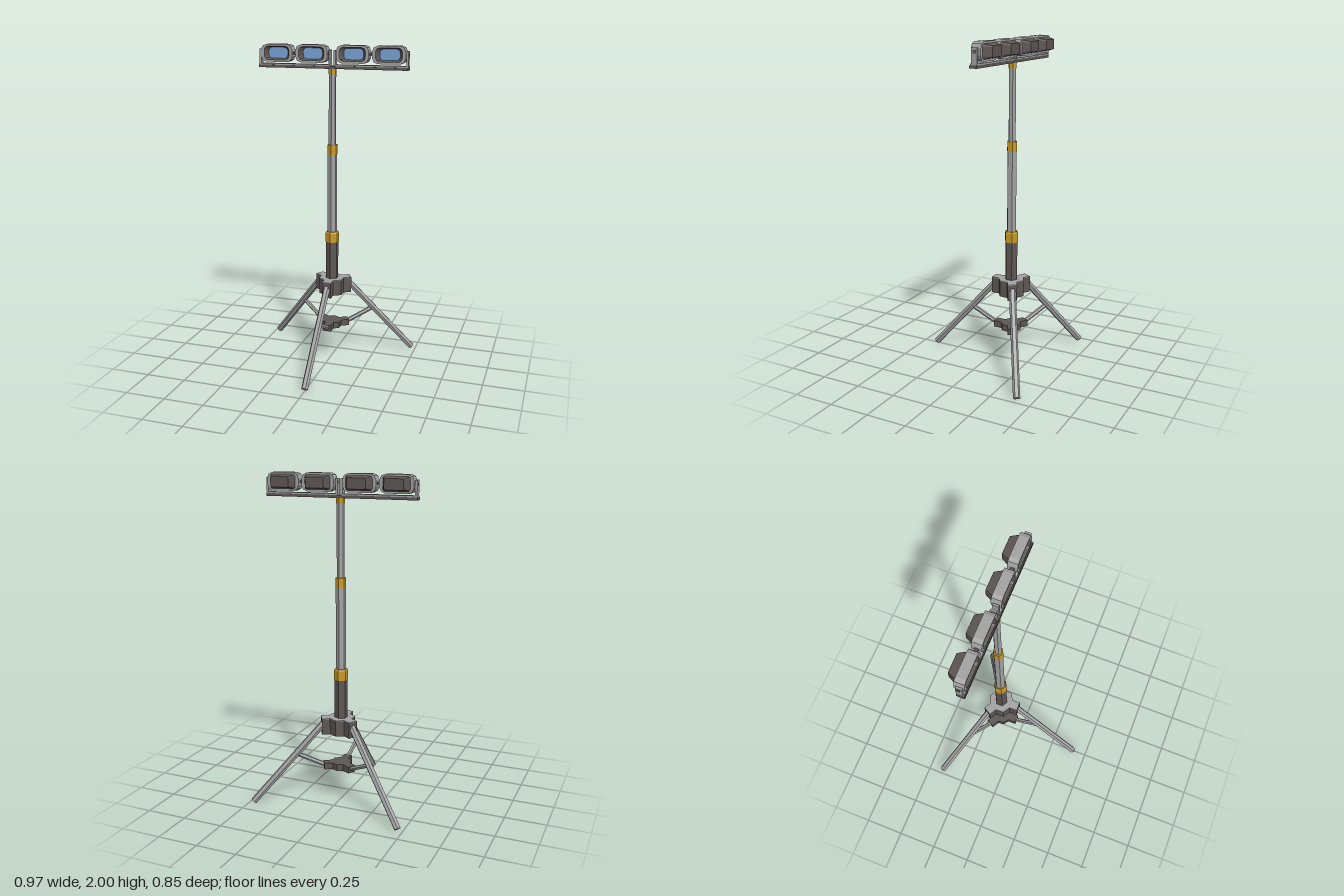
import * as THREE from 'three';

const mat = (name, color) => {
  const m = new THREE.MeshStandardMaterial({ color });
  m.name = name;
  m.flatShading = true;
  return m;
};

export function createModel() {
  const steel = mat('light grey steel', 0xa3a3a3);
  const dark = mat('dark brown grey', 0x5e5755);
  const gold = mat('yellow collar', 0xc99a26);
  const glass = mat('blue glass', 0x78a2d6);
  const model = new THREE.Group();
  const AXIS = -0.135; // mast position in z

  const add = (parent, name, geo, material, x = 0, y = 0, z = 0) => {
    const m = new THREE.Mesh(geo, material);
    m.name = name;
    m.position.set(x, y, z);
    parent.add(m);
    return m;
  };
  const box = (parent, name, material, w, h, d, x, y, z) =>
    add(parent, name, new THREE.BoxGeometry(w, h, d), material, x, y, z);

  // Six-sided rod between two points in the x = 0 plane
  const rod = (parent, name, r, a, b, material) => {
    const dir = b.clone().sub(a);
    const geo = new THREE.CylinderGeometry(r, r, dir.length(), 6).rotateY(Math.PI / 2);
    const m = add(parent, name, geo, material);
    m.position.copy(a).add(b).multiplyScalar(0.5);
    m.quaternion.setFromUnitVectors(new THREE.Vector3(0, 1, 0), dir.normalize());
    return m;
  };

  // Telescopic mast: [name, bottom y, top y, bottom radius, top radius, material]
  const mast = new THREE.Group();
  mast.name = 'mast';
  mast.position.z = AXIS;
  model.add(mast);
  [
    ['mastBase', 0.45, 0.78, 0.04, 0.04, dark],
    ['lowerCollar', 0.78, 0.838, 0.043, 0.043, gold],
    ['lowerCollarRim', 0.838, 0.847, 0.043, 0.037, gold],
    ['middleTube', 0.84, 1.34, 0.03, 0.03, steel],
    ['middleCollar', 1.34, 1.4, 0.032, 0.032, gold],
    ['upperTube', 1.39, 1.83, 0.023, 0.023, steel],
    ['topCollar', 1.828, 1.862, 0.025, 0.025, gold],
  ].forEach(([name, y0, y1, r0, r1, m]) =>
    add(mast, name, new THREE.CylinderGeometry(r1, r0, y1 - y0, 6), m, 0, (y0 + y1) / 2));

  // Three-armed hubs, one arm towards the front
  const hubGeo = (reach, half, notch, peak, height) => {
    const s = new THREE.Shape();
    const pts = [];
    for (let i = 0; i < 3; i++) {
      const a = i * Math.PI * 2 / 3;
      [[-half, notch], [-half, reach], [half, reach], [half, notch],
        [peak * Math.sin(Math.PI / 3), peak * 0.5]].forEach(([u, v]) =>
        pts.push(new THREE.Vector2(u * Math.cos(a) + v * Math.sin(a), u * Math.sin(a) - v * Math.cos(a))));
    }
    s.setFromPoints(pts);
    return new THREE.ExtrudeGeometry(s, { depth: height, bevelEnabled: false }).rotateX(-Math.PI / 2);
  };
  add(mast, 'upperHub', hubGeo(0.12, 0.029, 0.07, 0.084, 0.097), dark, 0, 0.44);
  add(mast, 'upperHubTop', hubGeo(0.12, 0.029, 0.07, 0.084, 0.004), steel, 0, 0.537);
  add(mast, 'lowerHub', hubGeo(0.107, 0.026, 0.055, 0.066, 0.04), dark, 0, 0.21);

  // Legs and braces
  for (let i = 0; i < 3; i++) {
    const leg = new THREE.Group();
    leg.name = 'leg' + (i + 1);
    leg.rotation.y = i * Math.PI * 2 / 3;
    mast.add(leg);
    const p = (y, z) => new THREE.Vector3(0, y, z);
    rod(leg, 'legTube', 0.021, p(0.505, 0.107), p(0.013, 0.543), steel);
    rod(leg, 'brace', 0.014, p(0.23, 0.095), p(0.313, 0.272), steel);
  }

  // Chamfered rectangle outline, counter-clockwise
  const outline = (w, h, c) => [
    [w - c, -h], [w - c * 0.3, -h + c * 0.3], [w, -h + c], [w, h - c], [w - c * 0.3, h - c * 0.3], [w - c, h],
    [c - w, h], [c * 0.3 - w, h - c * 0.3], [-w, h - c], [-w, c - h], [c * 0.3 - w, c * 0.3 - h], [c - w, -h],
  ];
  const shapeOf = (o) => new THREE.Shape(o.map(([x, y]) => new THREE.Vector2(x, y)));

  // Surface lofted between outlines, running from front to back
  const loft = (sections, capBack) => {
    const pos = [];
    const idx = [];
    const n = sections[0].o.length;
    sections.forEach(({ o, z }) => o.forEach(([x, y]) => pos.push(x, y, z)));
    for (let s = 0; s < sections.length - 1; s++) {
      for (let i = 0; i < n; i++) {
        const j = (i + 1) % n, a = s * n + i, b = s * n + j;
        idx.push(a, a + n, b, b, a + n, b + n);
      }
    }
    if (capBack) {
      const k = (sections.length - 1) * n;
      for (let i = 1; i < n - 1; i++) idx.push(k, k + i + 1, k + i);
    }
    const g = new THREE.BufferGeometry();
    g.setAttribute('position', new THREE.Float32BufferAttribute(pos, 3));
    g.setIndex(idx);
    const flat = g.toNonIndexed();
    flat.computeVertexNormals();
    return flat;
  };
  const funnelMat = dark.clone();
  funnelMat.side = THREE.DoubleSide;

  // Lamp geometry shared by all heads
  const opening = outline(0.08, 0.041, 0.022);
  const lensEdge = outline(0.061, 0.033, 0.02);
  const frameShape = shapeOf(outline(0.101, 0.053, 0.034));
  frameShape.holes.push(new THREE.Path(opening.map(([x, y]) => new THREE.Vector2(x, y)).reverse()));
  const frameGeo = new THREE.ExtrudeGeometry(frameShape, { depth: 0.058, bevelEnabled: false });
  const funnelGeo = loft([{ o: opening, z: 0 }, { o: lensEdge, z: -0.03 }], false);
  const lensGeo = new THREE.ShapeGeometry(shapeOf(lensEdge));
  const backGeo = loft([
    { o: outline(0.081, 0.042, 0.012), z: 0.002 },
    { o: outline(0.057, 0.031, 0.008), z: -0.046 },
  ], true);

  // Light bar
  const bar = new THREE.Group();
  bar.name = 'lightBar';
  model.add(bar);
  box(bar, 'crossbar', dark, 0.934, 0.016, 0.046, 0, 1.868, -0.133);
  for (const s of [-1, 1]) {
    box(bar, 'bracketBase', steel, 0.455, 0.009, 0.04, s * 0.239, 1.8805, -0.135);
    for (const x of [0.016, 0.459]) {
      box(bar, 'bracketUpright', steel, 0.012, 0.09, 0.036, s * x, 1.925, -0.138);
      box(bar, 'bracketPivot', dark, 0.028, 0.018, 0.022, s * (x < 0.1 ? 0.024 : 0.453), 1.947, -0.141);
    }
    box(bar, 'lampLink', dark, 0.05, 0.014, 0.022, s * 0.239, 1.947, -0.141);
    for (const x of [0.128, 0.35]) {
      const lamp = new THREE.Group();
      lamp.name = 'lamp';
      lamp.position.set(s * x, 1.947, 0);
      bar.add(lamp);
      add(lamp, 'lampFrame', frameGeo, steel, 0, 0, -0.171);
      add(lamp, 'lampReflector', funnelGeo, funnelMat, 0, 0, -0.115);
      add(lamp, 'lampGlass', lensGeo, glass, 0, 0, -0.1445);
      add(lamp, 'lampBack', backGeo, dark, 0, 0, -0.171);
    }
  }
  return model;
}
